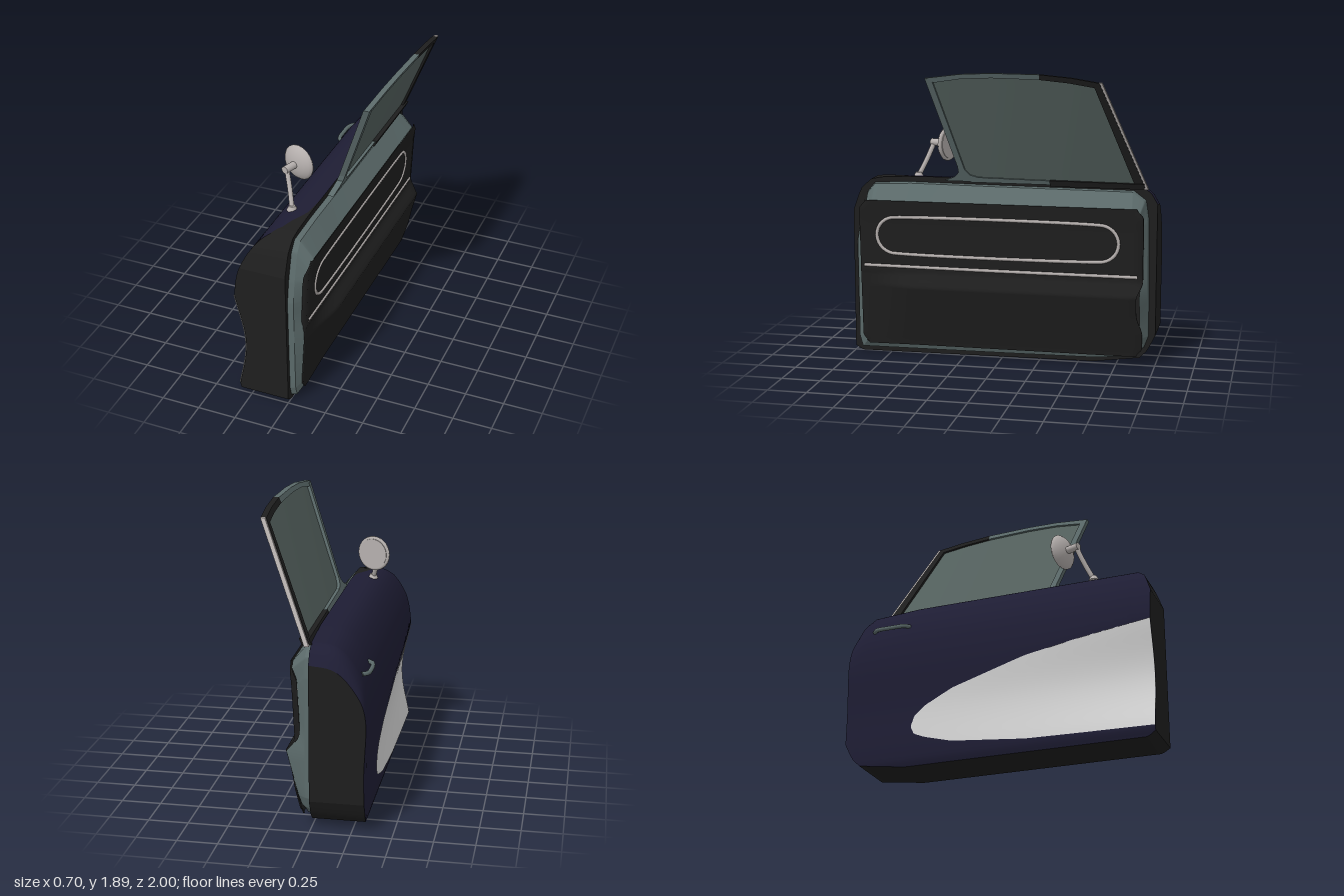
import * as THREE from 'three';

const paint = (name, color) => {
  const m = new THREE.MeshStandardMaterial({ color, side: THREE.DoubleSide });
  m.name = name;
  return m;
};
const V = (x, y, z) => new THREE.Vector3(x, y, z);
const { lerp, smoothstep, clamp } = THREE.MathUtils;

// Piecewise linear lookup in [[key, value], ...] with rising keys
function table(rows, k) {
  if (k <= rows[0][0]) return rows[0][1];
  for (let i = 1; i < rows.length; i++) {
    const [a, va] = rows[i - 1], [b, vb] = rows[i];
    if (k <= b) return lerp(va, vb, (k - a) / (b - a));
  }
  return rows[rows.length - 1][1];
}

export function createModel() {
  const group = new THREE.Group();
  const navy = paint('navy paint', 0x1e1d34);
  const black = paint('black trim', 0x1e1e1e);
  const teal = paint('grey green metal', 0x5b6a6a);
  const glassMat = paint('window glass', 0x55625f);
  const grey = paint('pale grey panel', 0xd8d8d8);
  const chrome = paint('chrome', 0xb6b0ae);

  const add = (name, geo, mat) => {
    const m = new THREE.Mesh(geo, mat);
    m.name = name;
    group.add(m);
    return m;
  };
  // Surface from a rule fn(u, v) -> Vector3
  const grid = (name, nu, nv, fn, mat) => {
    const pos = [], idx = [];
    for (let i = 0; i <= nu; i++) for (let j = 0; j <= nv; j++) pos.push(...fn(i / nu, j / nv).toArray());
    for (let i = 0; i < nu; i++) for (let j = 0; j < nv; j++) {
      const a = i * (nv + 1) + j, b = a + nv + 1;
      idx.push(a, b, a + 1, b, b + 1, a + 1);
    }
    const g = new THREE.BufferGeometry();
    g.setAttribute('position', new THREE.Float32BufferAttribute(pos, 3));
    g.setIndex(idx);
    g.computeVertexNormals();
    return add(name, g, mat);
  };
  const tube = (name, pts, r, mat, closed = false, n = 60) =>
    add(name, new THREE.TubeGeometry(new THREE.CatmullRomCurve3(pts, closed, 'centripetal'), n, r, 8, closed), mat);

  // Outer skin: one profile swept along z, clipped by the corner curves
  const profile = new THREE.CatmullRomCurve3([[-0.31, 0], [-0.328, 0.06], [-0.33, 0.4], [-0.34, 0.74],
    [-0.305, 0.94], [-0.22, 1.1], [-0.14, 1.163], [0, 1.185]].map(([x, y]) => V(x, y, 0)));
  const topClip = [[0.45, 1.185], [0.6, 1.183], [0.8, 1.174], [0.88, 1.158], [0.95, 1.09], [1, 0.95]];
  const bottomClip = [[-1, 0.2], [-0.95, 0.1], [-0.9, 0.05], [-0.6, 0.01], [0.95, 0], [1, 0.03]];
  const rearDrop = [[-1, 0.13], [-0.96, 0.06], [-0.9, 0.02], [-0.6, 0]];
  const tAt = (y) => {
    let a = 0, b = 1;
    for (let i = 0; i < 24; i++) {
      const m = (a + b) / 2;
      if (profile.getPoint(m).y < y) a = m; else b = m;
    }
    return b;
  };
  const greyTop = [[-0.55, 0.27], [-0.53, 0.33], [-0.46, 0.39], [-0.28, 0.48], [0.2, 0.62], [0.56, 0.68], [1, 0.74]];
  const greyLow = [[-0.55, 0.25], [-0.53, 0.21], [-0.46, 0.18], [-0.28, 0.13], [0.2, 0.08], [0.56, 0.07], [1, 0.06]];
  const dent = (y, z) => {
    if (z < -0.55) return 0;
    const lo = table(greyLow, z), s = clamp((y - lo) / (table(greyTop, z) - lo), 0, 1);
    return 0.055 * Math.sin(Math.PI * s) * ((z + 0.55) / 1.55) ** 1.5;
  };
  const zAt = (u) => -Math.cos(u * Math.PI) * 0.5 + (u - 0.5);
  const skin = (z, v) => {
    const t0 = tAt(table(bottomClip, z)), t1 = tAt(table(topClip, z));
    const p = profile.getPoint(lerp(t0, t1, v));
    p.x += dent(p.y, z);
    p.y -= table(rearDrop, z) * smoothstep(p.y, 0.6, 1.15);
    p.z = z;
    return p;
  };
  grid('outerSkin', 60, 48, (u, v) => skin(zAt(u), v), navy);
  const toInner = (p, v) => V(lerp(p.x, 0, v), p.y, p.z);
  grid('topJamb', 60, 1, (u, v) => toInner(skin(zAt(u), 1), v), black);
  grid('bottomJamb', 60, 1, (u, v) => toInner(skin(zAt(u), 0), v), black);
  grid('innerBacking', 60, 1, (u, v) => toInner(skin(zAt(u), v), 1), black);
  for (const z of [-1, 1]) grid(z > 0 ? 'frontJamb' : 'rearJamb', 48, 1, (u, v) => toInner(skin(z, u), v), black);

  // Pale inset on the outside
  grid('sideInset', 48, 20, (u, v) => {
    const z = lerp(-0.55, 1, u ** 1.4), y = lerp(table(greyLow, z), table(greyTop, z), v);
    return V(profile.getPoint(tAt(y)).x + dent(y, z) - 0.006, y, z);
  }, grey);

  // Inner side: metal border around a bulged trim panel
  const bulge = [[0.04, 0.05], [0.1, 0.06], [0.48, 0.158], [0.56, 0.1], [0.6, 0.098], [0.9, 0.113], [1.05, 0.127]];
  const panelX = (z, y) => {
    const x = table(bulge, y), f = smoothstep(z, 0.5, 0.93);
    return y < 0.56 ? lerp(x, 0.06 + 0.035 * (y / 0.56), f) : x;
  };
  // The panel stands proud of the border along its upper half
  const proud = (y) => 0.004 + 0.024 * smoothstep(y, 0.5, 0.62) * (1 - smoothstep(y, 0.92, 1.02));
  const borderOut = [[0.95, 0.03], [0.97, 0.1], [0.975, 0.75], [0.95, 0.9], [0.9, 1.08], [0.85, 1.14], [0.6, 1.15],
    [0, 1.145], [-0.85, 1.14], [-0.93, 1.08], [-0.95, 0.95], [-0.96, 0.2], [-0.93, 0.12], [-0.86, 0.06], [-0.6, 0.04], [0, 0.035]];
  const borderIn = [[0.9, 0.08], [0.91, 0.13], [0.91, 0.75], [0.91, 0.9], [0.89, 0.98], [0.84, 1.03], [0.6, 1.03],
    [0, 1.03], [-0.85, 1.03], [-0.9, 1.0], [-0.91, 0.9], [-0.91, 0.2], [-0.89, 0.13], [-0.85, 0.1], [-0.6, 0.1], [0, 0.08]];
  const around = (list, u) => {
    const k = u * list.length, i = Math.floor(k), a = list[i % list.length], b = list[(i + 1) % list.length];
    return [lerp(a[0], b[0], k - i), lerp(a[1], b[1], k - i)];
  };
  grid('borderEdge', 160, 1, (u, v) => {
    const [z, y] = around(borderOut, u);
    return V(lerp(-0.01, 0.035, v), lerp(y, lerp(y, 0.6, 0.012), v), z * (1 - 0.01 * v));
  }, teal);
  grid('borderFace', 160, 1, (u, v) => {
    const [z, y] = around(borderOut, u), [zi, yi] = around(borderIn, u);
    return V(lerp(0.035, panelX(zi, yi) - proud(yi), v), lerp(lerp(y, 0.6, 0.012), yi, v), lerp(z * 0.99, zi, v));
  }, teal);
  grid('trimPanel', 64, 34, (u, v) => {
    const y = lerp(0.07, 1.04, u);
    const corner = 0.04 * (1 - smoothstep(y, 0.07, 0.13)) + 0.04 * smoothstep(y, 0.98, 1.04);
    const notch = 0.035 * smoothstep(y, 0.22, 0.36) * (1 - smoothstep(y, 0.46, 0.57));
    // The first and last columns fold back to form the panel's edge
    const z = lerp(-0.925 + corner + notch, 0.925 - corner, clamp((v * 34 - 1) / 32, 0, 1));
    return V(panelX(z, y) + 0.003 - (v === 0 || v === 1 ? proud(y) + 0.006 : 0), y, z);
  }, black);

  // Bright mouldings on the trim panel
  const stadium = [];
  for (let i = 0; i < 36; i++) {
    const a = (i / 36) * Math.PI * 2, c = Math.cos(a);
    const z = 0.02 + (c > 0 ? 0.67 : -0.67) + 0.12 * c, y = 0.81 + 0.12 * Math.sin(a);
    if (Math.abs(c) > 1e-6) stadium.push(V(panelX(z, y), y, z));
  }
  tube('loopMoulding', stadium, 0.012, chrome, true, 140);
  tube('lowerMoulding', [V(0.098, 0.605, 0.9), V(0.098, 0.6, 0), V(0.098, 0.6, -0.89)], 0.012, chrome);

  // Leaning window: outlines in (z, y) laid on a twisted plane
  const leanX = (z, y) => 0.03 + (y - 1.17) * (0.405 - 0.06 * z);
  const slab = (name, pts, thick, mat) => {
    const g = new THREE.ExtrudeGeometry(new THREE.Shape(pts.map(([z, y]) => new THREE.Vector2(z, y))),
      { depth: thick, bevelEnabled: false });
    const p = g.attributes.position;
    for (let i = 0; i < p.count; i++) {
      const z = p.getX(i), y = p.getY(i), d = p.getZ(i);
      p.setXYZ(i, leanX(z, y) + thick / 2 - d, y, z);
    }
    g.computeVertexNormals();
    add(name, g, mat);
  };
  slab('frontPillar', [[0.37, 1.17], [0.3, 1.2], [0.272, 1.23], [0.275, 1.27], [0.43, 1.85], [0.385, 1.84],
    [0.23, 1.25], [0.2, 1.215], [0.15, 1.2], [0.12, 1.17]], 0.04, teal);
  slab('topRailFront', [[0.43, 1.85], [0.2, 1.88], [0, 1.89], [-0.3, 1.888], [-0.3, 1.855], [0, 1.86], [0.2, 1.85], [0.39, 1.82]], 0.036, teal);
  slab('topRailRear', [[-0.3, 1.888], [-0.5, 1.87], [-0.67, 1.842], [-0.65, 1.81], [-0.48, 1.838], [-0.3, 1.855]], 0.036, black);
  slab('rearPillar', [[-0.635, 1.82], [-0.67, 1.842], [-0.925, 1.165], [-0.865, 1.165]], 0.036, black);
  slab('rearPillarStrip', [[-0.665, 1.845], [-0.685, 1.845], [-0.945, 1.15], [-0.92, 1.15]], 0.028, chrome);
  slab('sillFront', [[0.2, 1.165], [-0.32, 1.165], [-0.32, 1.192], [0.2, 1.2]], 0.04, teal);
  slab('sillRear', [[-0.32, 1.155], [-0.92, 1.155], [-0.92, 1.19], [-0.32, 1.195]], 0.06, black);
  const glassTop = [[-0.66, 1.825], [-0.5, 1.85], [-0.3, 1.87], [0, 1.875], [0.2, 1.865], [0.41, 1.835]];
  grid('windowGlass', 20, 12, (u, v) => {
    const z = lerp(lerp(0.235, 0.41, v), lerp(-0.89, -0.655, v), u);
    const y = lerp(1.175, table(glassTop, z), v);
    return V(leanX(z, y), y, z);
  }, glassMat);

  // Wing mirror: foot, stem, neck and domed head with a flat glass
  const foot = add('mirrorFoot', new THREE.CylinderGeometry(0.02, 0.034, 0.03, 16), chrome);
  foot.position.set(-0.13, 1.178, 0.59);
  const joint = V(-0.2, 1.385, 0.5);
  tube('mirrorStem', [V(-0.13, 1.17, 0.59), V(-0.165, 1.28, 0.54), joint], 0.016, chrome, false, 12);
  const head = new THREE.Group();
  head.name = 'mirrorHead';
  head.position.set(-0.165, 1.385, 0.395);
  head.rotation.y = -0.33;
  const part = (name, geo, z) => {
    const m = new THREE.Mesh(geo.rotateX(Math.PI / 2), chrome);
    m.name = name;
    m.position.z = z;
    head.add(m);
  };
  part('mirrorShell', new THREE.LatheGeometry([[0, -0.012], [0.1, -0.012], [0.113, -0.006], [0.115, 0.003],
    [0.1, 0.02], [0.07, 0.036], [0.035, 0.045], [0, 0.048]].map(([r, h]) => new THREE.Vector2(r, h)), 28), 0);
  part('mirrorGlass', new THREE.CylinderGeometry(0.098, 0.098, 0.006, 28), -0.013);
  part('mirrorNeck', new THREE.CylinderGeometry(0.024, 0.024, 0.1, 14), 0.08);
  group.add(head);

  // Outside door handle
  tube('doorHandle', [V(-0.29, 0.97, -0.6), V(-0.32, 0.968, -0.63), V(-0.33, 0.965, -0.72),
    V(-0.32, 0.968, -0.82), V(-0.29, 0.97, -0.85)], 0.014, teal, false, 24);

  return group;
}
